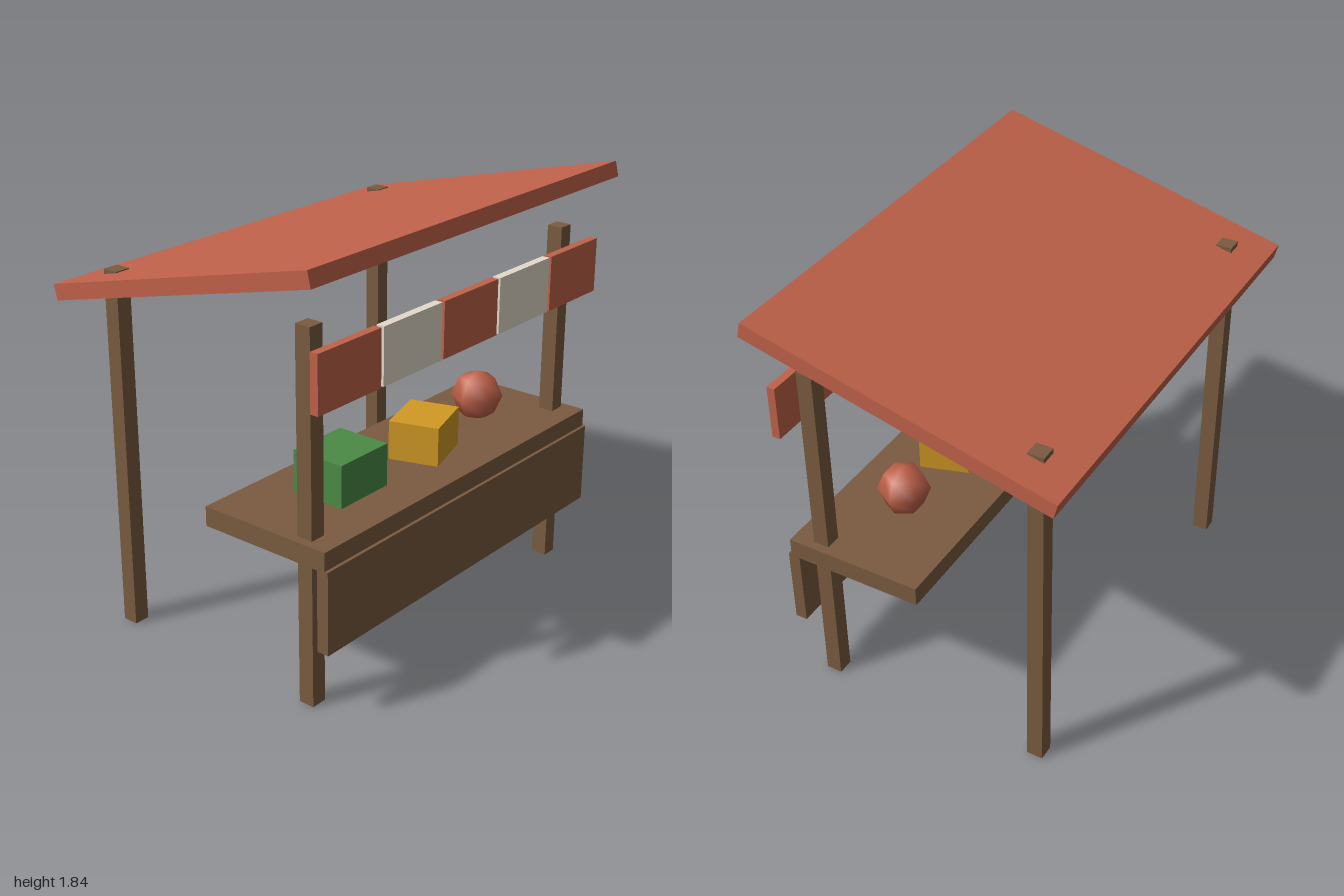
import * as THREE from 'three';

const mat = (name, color) => {
  const m = new THREE.MeshStandardMaterial({ color });
  m.name = name;
  return m;
};

export function createModel() {
  const stall = new THREE.Group();
  stall.name = 'marketStall';

  const wood = mat('wood brown', 0x7a5b40);
  const red = mat('terracotta red', 0xc0624a);
  const cream = mat('cream', 0xe4dccb);
  const green = mat('crate green', 0x4b8b46);
  const yellow = mat('crate yellow', 0xd29a24);

  const add = (name, geometry, material, x, y, z) => {
    const mesh = new THREE.Mesh(geometry, material);
    mesh.name = name;
    mesh.position.set(x, y, z);
    stall.add(mesh);
    return mesh;
  };
  const box = (name, material, [w, h, d], [x, y, z]) =>
    add(name, new THREE.BoxGeometry(w, h, d), material, x, y, z);

  // Four corner posts; the rear pair pokes through the roof
  for (const x of [-0.82, 0.82]) {
    for (const z of [-0.5, 0.5]) {
      box(z > 0 ? 'frontPost' : 'rearPost', wood, [0.07, 1.57, 0.07], [x, 0.785, z]);
    }
  }

  // Roof slab sloping down to the back
  const roof = box('roof', red, [2, 0.067, 1.36], [0, 1.645, 0]);
  roof.rotation.x = -0.24;

  // Counter top and the board hanging below its front edge
  box('counterTop', wood, [1.785, 0.085, 0.61], [0, 0.68, 0.325]);
  box('counterFront', wood, [1.785, 0.355, 0.053], [0, 0.467, 0.618]);

  // Row of alternating valance panels
  for (let i = 0; i < 5; i++) {
    box('valancePanel', i % 2 ? cream : red, [0.357, 0.237, 0.036],
      [(i - 2) * 0.3716 - 0.002, 1.393, 0.612]);
  }

  // Goods on the counter
  box('greenCrate', green, [0.285, 0.183, 0.245], [-0.432, 0.814, 0.322]);
  const crate = box('yellowCrate', yellow, [0.257, 0.17, 0.217], [0.07, 0.8075, 0.356]);
  crate.rotation.y = 0.3;
  add('fruit', new THREE.SphereGeometry(0.1125, 6, 4), red, 0.498, 0.8375, 0.322);

  return stall;
}
